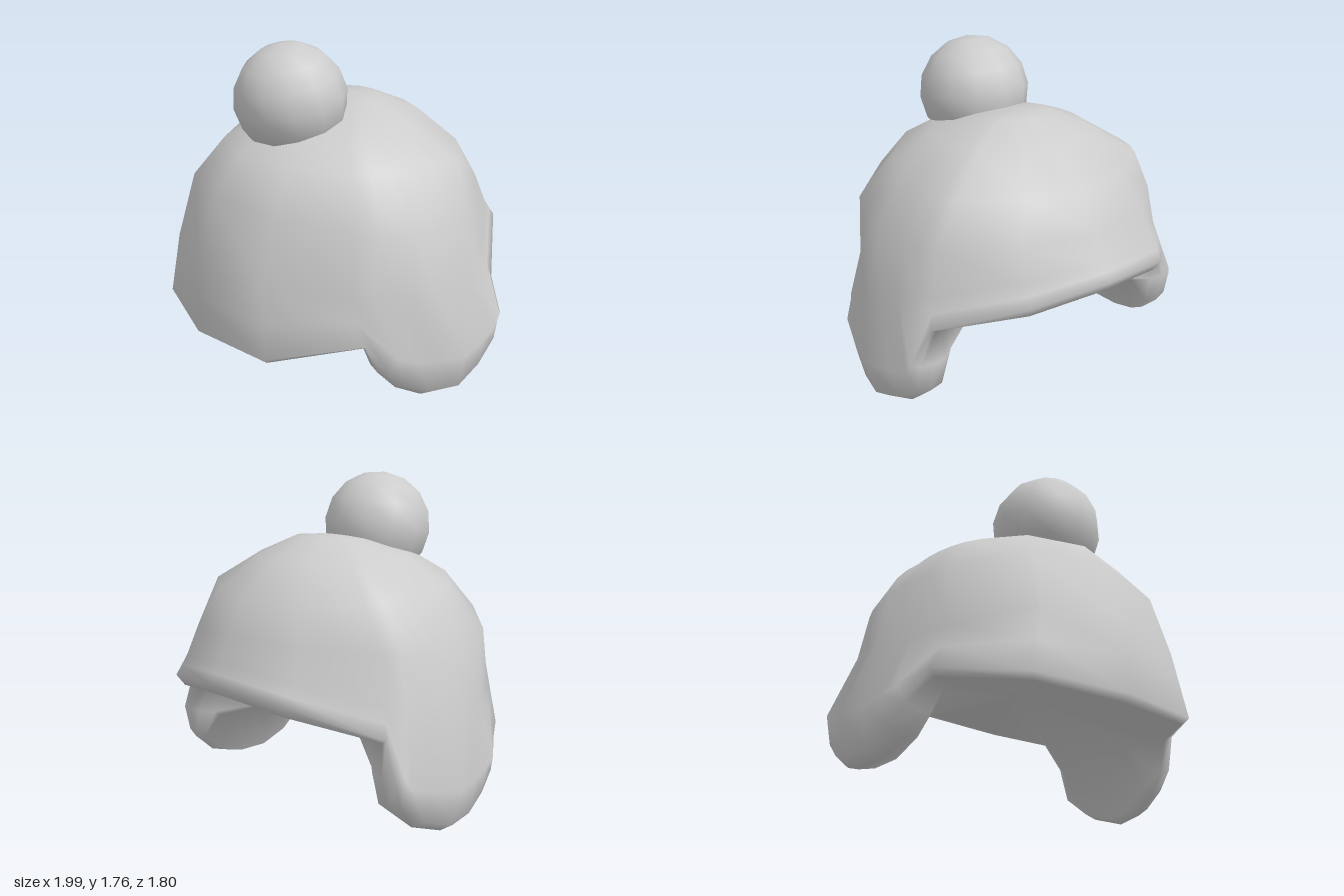
import * as THREE from 'three';

const material = new THREE.MeshStandardMaterial({ color: 0xcccccc });

// Column angles for one half, from the front (0) round the left side to the back (180)
const ANGLES = [0, 30, 60, 68, 75, 82, 90, 98, 106, 113, 120, 150, 180];

// Crown rings, top to bottom:
// [frontZ, frontY, sideX, sideY, backZ, backY, front corner scale, back corner scale]
const RINGS = [
  [0.10, 1.42, 0.20, 1.43, -0.25, 1.44, 1, 1],
  [0.40, 1.34, 0.42, 1.34, -0.48, 1.34, 1, 1],
  [0.61, 1.22, 0.63, 1.19, -0.69, 1.16, 1, 1.09],
  [0.77, 1.03, 0.82, 0.93, -0.78, 0.98, 1, 1.01],
  [0.88, 0.68, 0.88, 0.62, -0.85, 0.85, 0.93, 1],
];

// Brim columns: outer edge and bottom edge
const BRIM = {
  0: [[0, 0.28, 0.90], [0, 0.25, 0.85]],
  1: [[0.50, 0.30, 0.80], [0.48, 0.27, 0.77]],
  2: [[0.80, 0.38, 0.39], [0.76, 0.35, 0.37]],
  10: [[0.80, 0.54, -0.46], [0.75, 0.51, -0.43]],
  11: [[0.44, 0.70, -0.81], [0.42, 0.64, -0.77]],
  12: [[0, 0.75, -0.90], [0, 0.69, -0.86]],
};

// Ear flap outline [z, y], columns 3 to 9
const FLAP = [[0.30, 0.20], [0.20, 0.09], [0.05, 0.01], [-0.12, 0], [-0.30, 0.06], [-0.44, 0.18], [-0.48, 0.36]];
const FLAP_CENTRE = [-0.06, 0.36];
// Flap layers, outside to inside: [z scale, y scale, x, slope round the head]
const LAYERS = [
  [0.88, 0.30, 1.00, 0.28],
  [0.97, 0.85, 0.95, 0.22],
  [1.00, 1.00, 0.87, 0.20],
  [0.97, 0.94, 0.78, 0.17],
  [0.82, 0.15, 0.68, 0.10],
];

const CROWN_TOP = new THREE.Vector3(0, 1.45, -0.1);
const LINING_TOP = new THREE.Vector3(0, 0.55, 0);

function crownPoint([fz, fy, sx, sy, bz, by, frontScale, backScale], degrees) {
  const a = THREE.MathUtils.degToRad(degrees);
  const c = Math.cos(a);
  // The corner scale peaks at 60 degrees from the front or the back
  const corner = Math.max(0, -Math.sign(c) * Math.cos(3 * a));
  const scale = 1 + ((c > 0 ? frontScale : backScale) - 1) * corner;
  return new THREE.Vector3(
    sx * Math.sin(a) * scale,
    sy + c * (fy - by) / 2 + c * c * ((fy + by) / 2 - sy),
    ((fz + bz) / 2 + c * (fz - bz) / 2) * scale,
  );
}

// All points of one column, from crown to lining
function column(i) {
  const points = RINGS.map((ring) => crownPoint(ring, ANGLES[i]));
  if (BRIM[i]) {
    const [outer, bottom] = BRIM[i].map((p) => new THREE.Vector3(...p));
    const wall = points[points.length - 1].clone().lerp(outer, 0.5);
    const lip = bottom.clone().lerp(LINING_TOP, 0.06);
    points.push(wall, outer, bottom, lip, bottom.clone().lerp(LINING_TOP, 0.14));
  } else {
    const [z0, y0] = FLAP_CENTRE;
    const [pz, py] = FLAP[i - 3];
    for (const [kz, ky, x, slope] of LAYERS) {
      const z = z0 + (pz - z0) * kz;
      points.push(new THREE.Vector3(x - slope * Math.abs(z + 0.1), y0 + (py - y0) * ky, z));
    }
  }
  return points;
}

// Closed hat body: crown, brim, ear flaps and lining in one skin
function hatBody() {
  const half = ANGLES.map((_, i) => column(i));
  const mirrored = half.slice(1, -1).reverse()
    .map((col) => col.map((p) => new THREE.Vector3(-p.x, p.y, p.z)));
  const columns = [...half, ...mirrored];
  const n = columns.length;
  const rows = columns[0].length;
  const vertices = [...columns.flat(), CROWN_TOP, LINING_TOP];
  const top = n * rows;
  const index = [];
  for (let c = 0; c < n; c++) {
    const a = c * rows;
    const b = ((c + 1) % n) * rows;
    index.push(top, a, b);
    for (let r = 0; r < rows - 1; r++) {
      index.push(a + r, a + r + 1, b + r + 1, a + r, b + r + 1, b + r);
    }
    index.push(a + rows - 1, top + 1, b + rows - 1);
  }
  const geometry = new THREE.BufferGeometry().setFromPoints(vertices);
  geometry.setIndex(index);
  geometry.computeVertexNormals();
  return geometry;
}

export function createModel() {
  const group = new THREE.Group();
  group.name = 'bobbleHat';

  const body = new THREE.Mesh(hatBody(), material);
  body.name = 'hatBody';
  group.add(body);

  // Pompom sits forward on the crown, tilted with its slope
  const pompom = new THREE.Mesh(new THREE.SphereGeometry(0.305, 12, 8), material);
  pompom.name = 'pompom';
  pompom.position.set(0, 1.465, 0.29);
  pompom.rotation.x = 0.2;
  group.add(pompom);

  return group;
}
